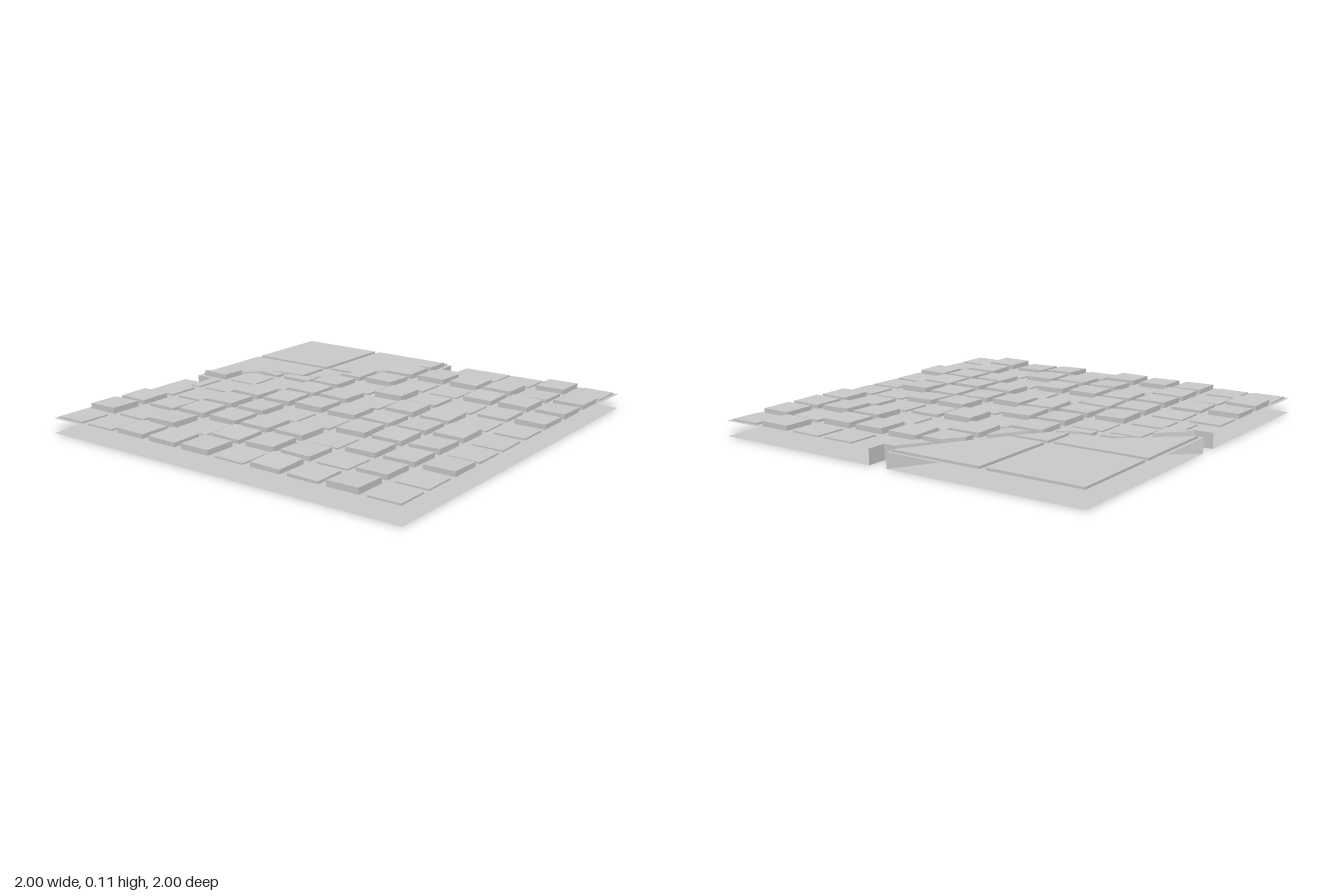
import * as THREE from 'three';

const PLATE = 0.075;
// Broken line between the big paving slabs and the small tiles, as [x, z]
const CRACK = [[-1, 0], [-0.9, -0.09], [-0.8, -0.18], [-0.7, -0.27], [-0.5, -0.29],
  [-0.4, -0.34], [-0.3, -0.49], [-0.2, -0.65], [-0.1, -0.83], [0, -1]];
// Tile heights, rows from back to front: # raised, + half raised, . low, space none
const TILES = [
  '    # ..#.',
  '    ####+#',
  '   ##..###',
  ' ++#.#+.+#',
  '#..##.##..',
  '..#######.',
  '..##..###.',
  '#+####.###',
  '#.#.###.#.',
  '..###.#+#.'];

// Interpolate column b of the crack at value v of column a
function along(v, a, b) {
  for (let i = 1; i < CRACK.length; i++) {
    const p = CRACK[i - 1], q = CRACK[i];
    if ((v - p[a]) * (v - q[a]) <= 0) return p[b] + (q[b] - p[b]) * (v - p[a]) / (q[a] - p[a]);
  }
  return a === 0 ? (v > 0 ? -2 : 2) : (v > 0 ? -2 : 2);
}

// Outline of a rectangle cut by the crack; side 1 keeps the front, -1 the back
function cutOutline(x0, x1, z0, z1, side, inset) {
  const xs = [x0, x1, ...CRACK.map(p => p[0]),
    along(z0 - side * inset, 1, 0), along(z1 - side * inset, 1, 0)]
    .filter(x => x >= x0 && x <= x1).sort((a, b) => a - b)
    .filter((x, i, l) => i === 0 || x - l[i - 1] > 1e-4);
  const near = [], far = [];
  for (const x of xs) {
    const c = along(x, 0, 1) + side * inset;
    const back = side > 0 ? Math.max(z0, c) : z0;
    const front = side > 0 ? z1 : Math.min(z1, c);
    if (front - back < -1e-4) continue;
    far.push([x, back]);
    if (front - back > 1e-4) near.unshift([x, front]);
  }
  return near.length ? [...near, ...far] : null;
}

const toShape = pts => new THREE.Shape(pts.map(([x, z]) => new THREE.Vector2(x, -z)));

// Upright block on the plate with a slightly tilted top
function block(pts, top, tiltX, tiltZ, cx, cz) {
  const g = new THREE.ExtrudeGeometry(toShape(pts), { depth: top - PLATE, bevelEnabled: false });
  g.rotateX(-Math.PI / 2).translate(0, PLATE, 0);
  const p = g.attributes.position;
  for (let i = 0; i < p.count; i++) {
    if (p.getY(i) > PLATE + 1e-4) {
      p.setY(i, p.getY(i) + tiltX * (p.getX(i) - cx) + tiltZ * (p.getZ(i) - cz));
    }
  }
  g.computeVertexNormals();
  return g;
}

// Vertical wall from the ground to the plate along a path
function wall(path) {
  const pos = [];
  for (let i = 1; i < path.length; i++) {
    const [ax, az] = path[i - 1], [bx, bz] = path[i];
    pos.push(ax, 0, az, bx, 0, bz, bx, PLATE, bz, ax, 0, az, bx, PLATE, bz, ax, PLATE, az);
  }
  const g = new THREE.BufferGeometry();
  g.setAttribute('position', new THREE.Float32BufferAttribute(pos, 3));
  g.computeVertexNormals();
  return g;
}

export function createModel() {
  const model = new THREE.Group();
  model.name = 'brokenFloor';
  const stone = new THREE.MeshStandardMaterial({ color: 0xcccccc, side: THREE.DoubleSide });
  stone.name = 'paleStone';
  const add = (geometry, name, parent = model) => {
    const mesh = new THREE.Mesh(geometry, stone);
    mesh.name = name;
    parent.add(mesh);
  };
  let seed = 7;
  const random = () => (seed = (seed * 16807) % 2147483647) / 2147483647;
  const spread = s => (random() - 0.5) * 2 * s;

  // Thin lower and upper sheets with a notch in the back and right edges
  const sheet = [[-1, 1], [1, 1], [1, -1], [0.1, -1], [0.1, -0.9], [0, -0.9], [0, -1],
    [-1, -1], [-1, 0], [-0.9, 0], [-0.9, 0.1], [-1, 0.1]];
  add(new THREE.ShapeGeometry(toShape(sheet)).rotateX(-Math.PI / 2), 'lowerSheet');
  add(new THREE.ShapeGeometry(toShape(sheet)).rotateX(-Math.PI / 2).translate(0, PLATE, 0), 'upperSheet');

  // Walls of the crack and the two notches
  add(wall(CRACK), 'crackWall');
  add(wall([[0, -1], [0, -0.9], [0.1, -0.9], [0.1, -1]]), 'backNotchWall');
  add(wall([[-1, 0.1], [-0.9, 0.1], [-0.9, 0], [-1, 0]]), 'sideNotchWall');

  // Small tiles in front of the crack
  const tiles = new THREE.Group();
  tiles.name = 'smallTiles';
  model.add(tiles);
  const heights = { '#': 0.1, '+': 0.09, '.': 0.083 };
  TILES.forEach((row, r) => [...row].forEach((c, k) => {
    if (c === ' ') return;
    const x = -0.9 + k * 0.2, z = -0.9 + r * 0.2;
    // The tile beside the side notch is cut back to its edge
    const left = r === 5 && k === 0 ? -0.88 : x - 0.08;
    const pts = cutOutline(left, x + 0.08, z - 0.08, z + 0.08, 1, 0.01);
    if (!pts) return;
    const top = heights[c] + spread(c === '#' ? 0.003 : 0.001);
    const tilt = c === '.' ? 0.01 : 0.025;
    add(block(pts, top, spread(tilt), spread(tilt), x, z), 'smallTile', tiles);
  }));

  // Large slabs behind the crack
  const slabs = new THREE.Group();
  slabs.name = 'largeSlabs';
  model.add(slabs);
  for (const x of [-1, -0.5]) {
    for (const z of [-1, -0.5]) {
      const pts = cutOutline(x + 0.015, x + 0.485, z + 0.015, z + 0.485, -1, 0.015);
      if (pts) add(block(pts, 0.087, spread(0.004), spread(0.004), x + 0.25, z + 0.25), 'largeSlab', slabs);
    }
  }
  return model;
}
